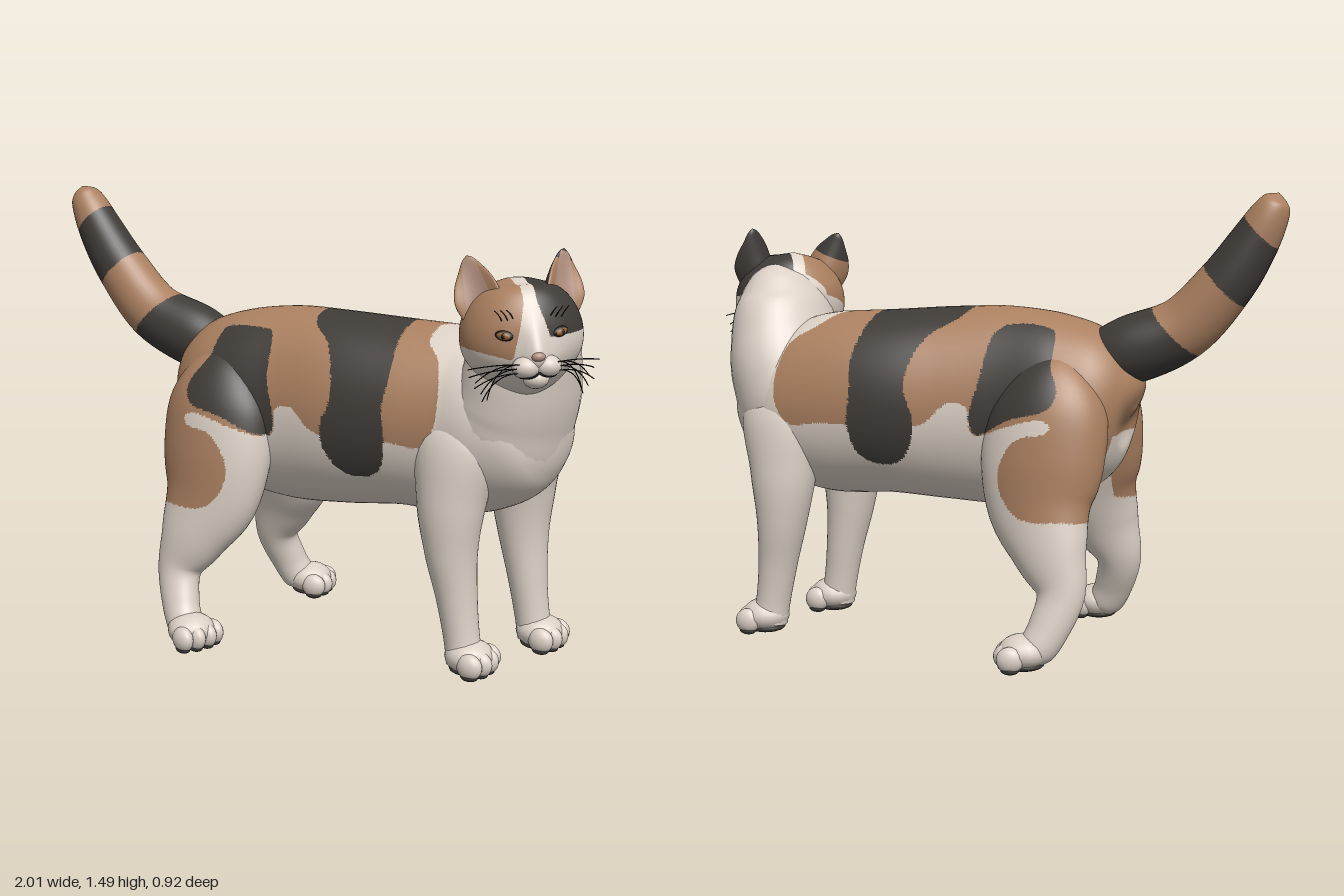
import * as THREE from 'three';

const mat = (name, color) => Object.assign(new THREE.MeshStandardMaterial({ color }), { name });
const WHITE = 0, BROWN = 1, DARK = 2, PINK = 3;
const coat = [mat('cream fur', 0xdcd1c6), mat('tan fur', 0xab8060), mat('charcoal fur', 0x3f3b37), mat('pink skin', 0xb08f7e)];
const amber = mat('amber eye', 0x9a6638);
const black = mat('black', 0x1c1a19);

// Smooth skin through elliptical rings [x, y, z, radius in plane, radius sideways].
// Triangles that cross the edge of a coat patch are divided so that the edge is clean.
function loft(name, rows, paint = () => WHITE, nu = 44, nv = 36, bend) {
  const spine = new THREE.CatmullRomCurve3(rows.map(r => new THREE.Vector3(r[0], r[1], r[2])), false, 'catmullrom');
  const radii = new THREE.CatmullRomCurve3(rows.map(r => new THREE.Vector3(r[3], r[4], 0)), false, 'catmullrom');
  const pts = [], index = [];
  for (let i = 0; i <= nu; i++) {
    // ease towards the ends so that they come out round
    const k = i / nu, t = 0.6 * k + 0.4 * (0.5 - 0.5 * Math.cos(Math.PI * k));
    const c = spine.getPoint(t), r = radii.getPoint(t), T = spine.getTangent(t);
    const S = new THREE.Vector3(0, 0, 1).addScaledVector(T, -T.z).normalize();
    const U = new THREE.Vector3().crossVectors(S, T);
    for (let j = 0; j < nv; j++) {
      const v = (j / nv) * Math.PI * 2;
      const p = c.clone().addScaledVector(U, Math.max(r.x, 0.001) * Math.cos(v))
        .addScaledVector(S, Math.max(r.y, 0.001) * Math.sin(v));
      if (bend) bend(p);
      pts.push(p);
      const a = i * nv + j, b = i * nv + (j + 1) % nv;
      if (i < nu) index.push(a, b, b + nv, a, b + nv, a + nv);
    }
  }
  const base = new THREE.BufferGeometry().setFromPoints(pts).setIndex(index);
  base.computeVertexNormals();
  const corner = (i, j) => {
    const a = i * nv + j % nv;
    return { p: pts[a], n: new THREE.Vector3().fromBufferAttribute(base.attributes.normal, a), u: i / nu, v: (j / nv) * Math.PI * 2 };
  };
  const middle = (a, b) => ({ p: a.p.clone().lerp(b.p, 0.5), n: a.n.clone().lerp(b.n, 0.5).normalize(), u: (a.u + b.u) / 2, v: (a.v + b.v) / 2 });
  const colour = a => paint(a.p, a.u, a.v);
  const faces = coat.map(() => []);
  const add = (a, b, c, depth) => {
    const k = colour(a);
    if (depth && (k !== colour(b) || k !== colour(c))) {
      const ab = middle(a, b), bc = middle(b, c), ca = middle(c, a);
      [[a, ab, ca], [ab, b, bc], [ca, bc, c], [ab, bc, ca]].forEach(f => add(...f, depth - 1));
    } else faces[colour(middle(middle(a, b), c))].push(a, b, c);
  };
  for (let i = 0; i < nu; i++) for (let j = 0; j < nv; j++) {
    const a = corner(i, j), b = corner(i, j + 1), c = corner(i + 1, j + 1), d = corner(i + 1, j);
    add(a, b, c, 2);
    add(a, c, d, 2);
  }
  const all = faces.flat();
  const g = new THREE.BufferGeometry().setFromPoints(all.map(a => a.p));
  g.setAttribute('normal', new THREE.Float32BufferAttribute(all.flatMap(a => a.n.toArray()), 3));
  let start = 0;
  faces.forEach((f, i) => { if (f.length) g.addGroup(start, f.length, i); start += f.length; });
  const mesh = new THREE.Mesh(g, coat);
  mesh.name = name;
  return mesh;
}

function blob(name, material, p, r) {
  const m = new THREE.Mesh(new THREE.SphereGeometry(1, 16, 12), material);
  m.name = name;
  m.position.set(...p);
  m.scale.set(...r);
  return m;
}

// Coat patches, outlined in side view
const inside = (poly, x, y) => {
  let hit = false;
  poly.forEach(([ax, ay], i) => {
    const [bx, by] = poly[(i + 1) % poly.length];
    if ((ay > y) !== (by > y) && x < ax + (bx - ax) * (y - ay) / (by - ay)) hit = !hit;
  });
  return hit;
};
const rounded = poly => new THREE.CatmullRomCurve3(poly.map(([x, y]) => new THREE.Vector3(x, y, 0)), true, 'centripetal')
  .getPoints(90).map(p => [p.x, p.y]);
const tanPatch = rounded([[-0.6, 0.47], [-0.4, 0.47], [-0.25, 0.475], [-0.19, 0.53], [-0.17, 0.6], [-0.19, 0.67], [-0.24, 0.725], [-0.33, 0.745],
  [-0.34, 0.77], [-0.3, 0.785], [-0.2, 0.76], [-0.06, 0.72], [-0.04, 0.81], [0.02, 0.82], [0.1, 0.75], [0.36, 0.74], [0.46, 0.73],
  [0.51, 0.79], [0.52, 0.88], [0.49, 1.0], [0.43, 1.06], [0.42, 1.3], [-0.6, 1.3]]);
const saddle = rounded([[0.0, 1.3], [0.02, 1.1], [0.11, 1.03], [0.15, 0.95], [0.16, 0.86], [0.13, 0.77], [0.14, 0.69], [0.19, 0.62],
  [0.26, 0.61], [0.32, 0.64], [0.35, 0.74], [0.34, 0.85], [0.35, 0.95], [0.33, 1.1], [0.33, 1.3]]);
const hipPatch = rounded([[-0.29, 1.05], [-0.2, 1.07], [-0.11, 1.05], [-0.08, 0.9], [-0.05, 0.77], [-0.07, 0.72], [-0.2, 0.78],
  [-0.33, 0.82], [-0.35, 0.87], [-0.31, 0.95]]);
const bodyPaint = p => {
  const x = p.x > 0.36 ? p.x - Math.min(0.1, Math.max(0, -0.06 - p.z) * 0.5) : p.x;
  if (inside(saddle, p.x, p.y)) return DARK;
  if (Math.abs(p.z) > 0.12 && inside(hipPatch, p.x, p.y)) return DARK;
  if (p.y < 0.72 && Math.abs(p.z) < (p.x > -0.4 ? 0.19 : 0.12)) return WHITE;
  return inside(tanPatch, x, p.y) ? BROWN : WHITE;
};
const tailPaint = p => {
  const d = p.y - p.x;
  return d < 1.7 || (d > 2.0 && d < 2.28) ? DARK : BROWN;
};

function paw(name, x, z, yaw) {
  const g = new THREE.Group();
  g.name = name;
  g.add(blob('pawBody', coat[WHITE], [-0.005, 0.06, 0], [0.08, 0.056, 0.08]));
  g.add(blob('solePad', coat[DARK], [-0.005, 0.019, 0], [0.066, 0.019, 0.062]));
  [-0.064, -0.023, 0.023, 0.064].forEach(dz => {
    const dx = 0.052 - Math.abs(dz) * 0.35;
    g.add(blob('toe', coat[WHITE], [dx, 0.047, dz], [0.044, 0.042, 0.028]));
    g.add(blob('toePad', coat[DARK], [dx, 0.015, dz], [0.03, 0.015, 0.021]));
  });
  g.position.set(x, 0, z);
  g.rotation.y = yaw;
  return g;
}

function ear(side) {
  const paint = (p, u, v) => {
    const front = v < Math.PI;
    if (front && Math.abs(p.x) < 0.05 * (1 - u) + 0.004 && u < 0.8) return PINK;
    if (front) return side > 0 && u > 0.6 ? DARK : BROWN;
    return side > 0 || u > 0.4 ? DARK : BROWN;
  };
  const e = loft(side > 0 ? 'leftEar' : 'rightEar', [[0, -0.06, 0, 0.066, 0.035], [0, 0, 0, 0.074, 0.03], [0, 0.05, 0, 0.062, 0.02],
    [0, 0.095, 0, 0.036, 0.012], [0, 0.12, 0, 0.018, 0.008], [0, 0.132, 0, 0.001, 0.001]], paint, 28, 32, p => { p.z += 8 * p.x * p.x - 0.012; });
  e.position.set(side * 0.122, 0.115, 0);
  e.rotation.set(-0.05, side * 0.45, side * -0.3);
  return e;
}

function buildHead() {
  const head = new THREE.Group();
  head.name = 'head';
  const facePaint = p => {
    const blaze = 0.02 + Math.max(0, 0.11 - p.y) * (p.z > 0 ? 0.28 : 0.1);
    if (Math.abs(p.x) < blaze || p.z < -0.14) return WHITE;
    const lift = Math.max(0, -0.03 - p.z) * 0.7;
    if (p.x < 0) return p.y > -0.05 - 0.25 * (p.x + 0.1) + lift ? BROWN : WHITE;
    return p.y > 0.005 + lift * 0.6 ? DARK : WHITE;
  };
  // swell the front of the skull into a muzzle and a nose bridge
  const muzzle = p => {
    if (p.z <= 0) return;
    const swell = (w, y, h) => Math.exp(-((p.x / w) ** 2) - ((p.y - y) / h) ** 2);
    p.z += Math.min(1, p.z / 0.08) * (0.05 * swell(0.065, -0.075, 0.055) + 0.03 * swell(0.035, -0.01, 0.06));
  };
  head.add(loft('skull', [[0, -0.185, 0.03, 0.001, 0.001], [0, -0.16, 0.03, 0.09, 0.09], [0, -0.08, 0.015, 0.172, 0.148],
    [0, 0, 0, 0.19, 0.165], [0, 0.08, -0.01, 0.165, 0.15], [0, 0.14, -0.02, 0.1, 0.1], [0, 0.165, -0.02, 0.001, 0.001]],
    facePaint, 56, 72, muzzle));
  head.add(blob('chin', coat[WHITE], [0, -0.116, 0.172], [0.04, 0.03, 0.036]));
  head.add(blob('nose', coat[PINK], [0, -0.044, 0.213], [0.021, 0.014, 0.014]));
  for (const s of [-1, 1]) {
    head.add(ear(s));
    head.add(blob('whiskerPad', coat[WHITE], [s * 0.032, -0.078, 0.185], [0.044, 0.034, 0.038]));
    // eye: rim, iris and pupil
    const eye = new THREE.Group();
    eye.name = 'eye';
    eye.add(blob('eyeRim', black, [0, 0, 0], [0.029, 0.016, 0.012]));
    eye.add(blob('iris', amber, [0, 0, 0.004], [0.023, 0.012, 0.011]));
    eye.add(blob('pupil', black, [0, 0, 0.008], [0.008, 0.01, 0.009]));
    eye.position.set(s * 0.085, 0.015, 0.144);
    eye.rotation.set(-0.05, s * 0.5, s * 0.2);
    head.add(eye);
    const line = (name, a, b, c, r) => {
      const curve = new THREE.QuadraticBezierCurve3(...[a, b, c].map(q => new THREE.Vector3(s * q[0], q[1], q[2])));
      const m = new THREE.Mesh(new THREE.TubeGeometry(curve, 10, r, 5), black);
      m.name = name;
      head.add(m);
    };
    line('mouth', [0, -0.09, 0.216], [0.02, -0.112, 0.22], [0.055, -0.104, 0.196], 0.003);
    for (let i = 0; i < 7; i++) {
      const y = -0.065 - (i % 3) * 0.013, drop = 0.012 + i * 0.016;
      line('whisker', [0.045, y, 0.21], [0.12, y + 0.01, 0.21 - i * 0.006], [0.2 - i * 0.009, y - drop, 0.15 - (i % 2) * 0.03], 0.0018);
    }
    for (let i = 0; i < 3; i++) {
      const x = 0.055 + i * 0.018;
      line('browHair', [x, 0.06, 0.142], [x + 0.008, 0.08, 0.155], [x + 0.022, 0.092, 0.15], 0.0018);
    }
  }
  head.position.set(0.76, 1.11, 0.05);
  head.rotation.set(0, 0.7, 0.06, 'YXZ');
  return head;
}

export function createModel() {
  const cat = new THREE.Group();
  cat.name = 'cat';
  cat.add(loft('torso', [[-0.53, 0.8, 0, 0.001, 0.001], [-0.5, 0.81, 0, 0.15, 0.13], [-0.42, 0.81, 0, 0.245, 0.205],
    [-0.28, 0.8, 0, 0.3, 0.238], [-0.1, 0.79, -0.02, 0.328, 0.232], [0.1, 0.79, -0.04, 0.322, 0.25], [0.3, 0.79, -0.075, 0.308, 0.258],
    [0.5, 0.78, -0.095, 0.305, 0.245], [0.65, 0.785, -0.085, 0.265, 0.24], [0.78, 0.81, -0.08, 0.175, 0.18], [0.86, 0.83, -0.07, 0.001, 0.001]],
    bodyPaint, 80, 64));
  cat.add(loft('neck', [[0.58, 0.64, -0.09, 0.001, 0.001], [0.62, 0.73, -0.09, 0.2, 0.21], [0.68, 0.86, -0.085, 0.192, 0.24],
    [0.715, 0.98, -0.06, 0.175, 0.225], [0.74, 1.1, -0.03, 0.15, 0.19], [0.75, 1.19, -0.02, 0.1, 0.125], [0.75, 1.25, -0.01, 0.001, 0.001]]));
  cat.add(loft('tail', [[-0.36, 0.94, 0, 0.08, 0.08], [-0.5, 0.985, 0.01, 0.11, 0.105], [-0.67, 1.06, 0.03, 0.102, 0.095],
    [-0.8, 1.2, 0.04, 0.092, 0.088], [-0.88, 1.32, 0.05, 0.08, 0.078], [-0.935, 1.42, 0.055, 0.062, 0.064],
    [-0.952, 1.465, 0.06, 0.042, 0.045], [-0.962, 1.488, 0.06, 0.001, 0.001]], tailPaint, 56, 36));
  for (const s of [1, -1]) {
    const side = s > 0 ? 'right' : 'left';
    // hind legs splay outwards to the paws
    cat.add(loft(side + 'HindLeg', [[-0.27, 0.99, 0.1, 0.001, 0.001], [-0.28, 0.92, 0.13, 0.12, 0.09], [-0.285, 0.8, 0.165, 0.195, 0.13],
      [-0.28, 0.65, 0.2, 0.205, 0.125], [-0.285, 0.5, 0.23, 0.178, 0.105], [-0.335, 0.36, 0.268, 0.125, 0.082], [-0.378, 0.24, 0.29, 0.08, 0.064],
      [-0.35, 0.13, 0.325, 0.066, 0.058], [-0.315, 0.06, 0.345, 0.058, 0.058], [-0.3, 0.02, 0.35, 0.03, 0.03]]
      .map(r => [r[0], r[1], s * r[2], r[3], r[4]]), bodyPaint, 56, 48));
    cat.add(paw(side + 'HindPaw', -0.275, s * 0.362, -s * 0.25));
    // forelegs stand either side of the chest, the far one a little ahead
    const dx = s > 0 ? 0 : 0.075;
    cat.add(loft(side + 'Foreleg', [[0.56, 0.85, 0.1, 0.001, 0.001], [0.56, 0.76, 0.145, 0.14, 0.1], [0.55, 0.56, 0.175, 0.115, 0.1],
      [0.555, 0.4, 0.18, 0.086, 0.087], [0.575, 0.25, 0.176, 0.066, 0.07], [0.595, 0.12, 0.176, 0.058, 0.06], [0.61, 0.04, 0.178, 0.06, 0.062]]
      .map(r => [r[0] + dx, r[1], s * r[2] - 0.085, r[3], r[4]])));
    cat.add(paw(side + 'ForePaw', 0.63 + dx, s * 0.178 - 0.085, 0));
  }
  cat.add(buildHead());
  return cat;
}
